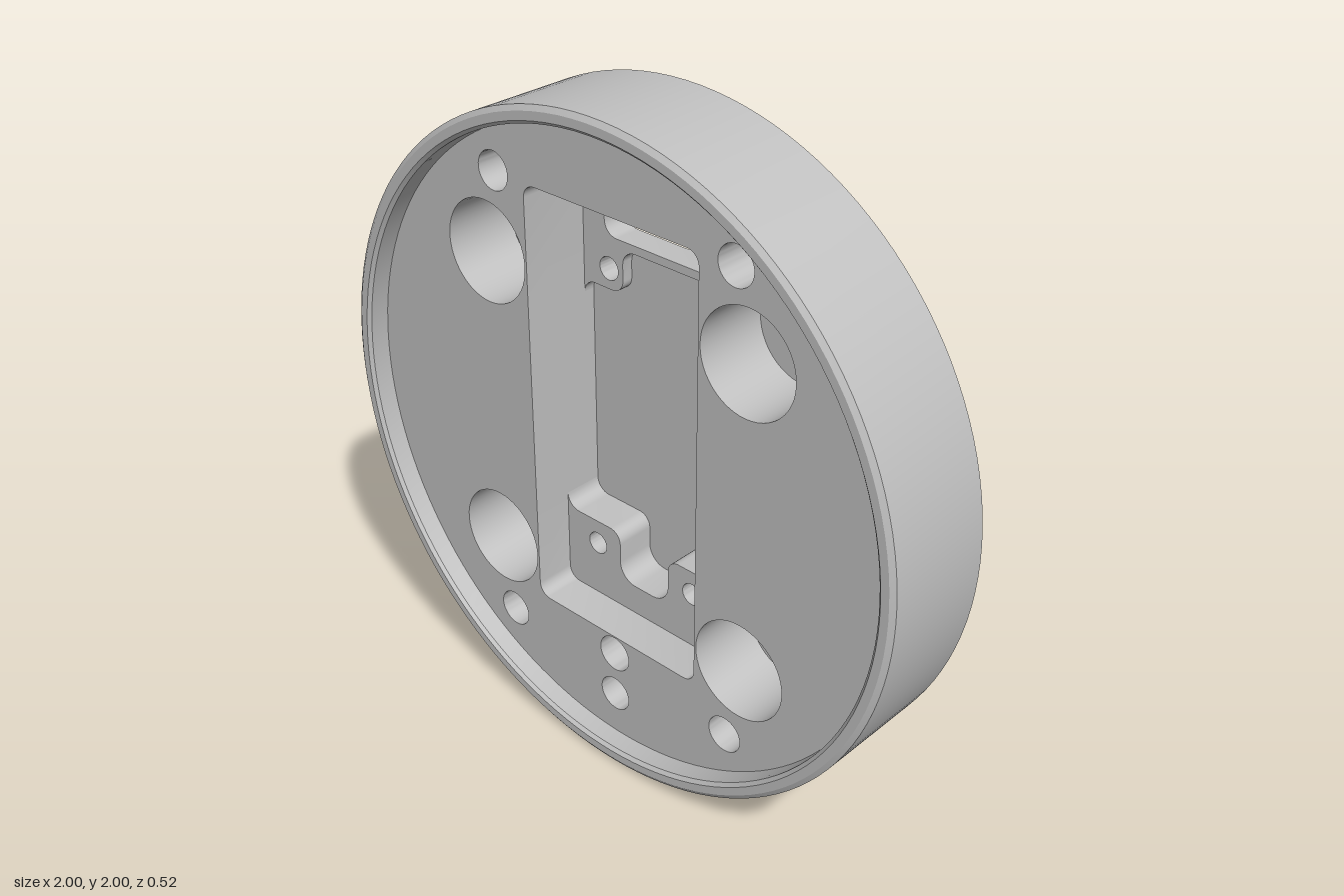
import * as THREE from 'three';
import { toCreasedNormals } from 'three/addons/utils/BufferGeometryUtils.js';

const CY = 1; // height of the disc axis
// z levels
const FRONT = 0.26, FLOOR = 0.19, LOW_SHELF = 0.065, TOP_SHELF = -0.025,
  CBORE = -0.04, DEEP = -0.06, BACK = -0.11, BOSS = -0.26;

const V = (x, y) => new THREE.Vector2(x, y);

// Circle as a counter-clockwise point loop
function circle(x, y, r, n = 48) {
  return Array.from({ length: n }, (_, i) => {
    const a = (i / n) * Math.PI * 2;
    return V(x + r * Math.cos(a), y + r * Math.sin(a));
  });
}

// Polyline [x, y, radius] with its right-angled corners rounded
function rounded(corners, closed = false) {
  const n = corners.length, out = [];
  corners.forEach(([x, y, r], i) => {
    const p = V(x, y);
    if (!r || (!closed && (i === 0 || i === n - 1))) { out.push(p); return; }
    const a = corners[(i + n - 1) % n], b = corners[(i + 1) % n];
    const d1 = p.clone().sub(V(a[0], a[1])).normalize();
    const d2 = V(b[0], b[1]).sub(p).normalize();
    for (let k = 0; k <= 8; k++) {
      const t = (k / 8) * Math.PI / 2;
      out.push(p.clone().addScaledVector(d1, -r * (1 - Math.sin(t)))
        .addScaledVector(d2, r * (1 - Math.cos(t))));
    }
  });
  return out;
}

// Flat face with holes at height z, facing front or back
function face(outline, holes, z, back = false) {
  const shape = new THREE.Shape(outline);
  shape.holes = holes.map((h) => new THREE.Path(h));
  const g = new THREE.ShapeGeometry(shape);
  if (back) {
    g.index.array.reverse();
    g.computeVertexNormals();
  }
  return g.translate(0, 0, z);
}

// Upright wall along a path, facing the left of travel
function wall(pts, z0, z1, closed = true) {
  const pos = [], n = pts.length;
  for (let i = 0; i < (closed ? n : n - 1); i++) {
    const p = pts[i], q = pts[(i + 1) % n];
    if (p.distanceTo(q) < 1e-6) continue;
    pos.push(p.x, p.y, z0, q.x, q.y, z1, q.x, q.y, z0,
      p.x, p.y, z0, p.x, p.y, z1, q.x, q.y, z1);
  }
  const g = new THREE.BufferGeometry();
  g.setAttribute('position', new THREE.Float32BufferAttribute(pos, 3));
  return toCreasedNormals(g, Math.PI / 6);
}

// Turned part around an axis along z, profile points are [radius, z]
function turned(profile, x, y, segments) {
  const g = new THREE.LatheGeometry(profile.map(([r, z]) => V(r, z)), segments);
  g.rotateX(Math.PI / 2).translate(x, y, 0);
  return toCreasedNormals(g, Math.PI / 6);
}

export function createModel() {
  const group = new THREE.Group();
  group.name = 'mountingDisc';
  const metal = new THREE.MeshStandardMaterial({ color: 0xc0c0c0, side: THREE.DoubleSide });
  metal.name = 'light grey metal';
  const add = (name, geometry) => {
    const mesh = new THREE.Mesh(geometry, metal);
    mesh.name = name;
    group.add(mesh);
  };

  // Rim with chamfered edges, and the round boss behind
  add('rim', turned([[0.99, BACK], [1, BACK + 0.01], [1, FRONT - 0.01], [0.985, FRONT],
    [0.96, FRONT], [0.95, FRONT - 0.01], [0.95, FLOOR]], 0, CY, 128));
  add('rearBoss', turned([[0, BOSS], [0.41, BOSS], [0.42, BOSS + 0.01], [0.42, BACK]], 0, CY, 96));

  // Outlines of the stepped pocket
  const W = 0.31, T = 1.33, B = 0.7;
  const pocketTop = rounded([[W, T], [W, 1.72, 0.04], [-W, 1.72, 0.04], [-W, T]]);
  const pocketBottom = rounded([[-W, B], [-W, 0.4, 0.04], [W, 0.4, 0.04], [W, B]]);
  const deepTop = rounded([[W, T], [W, 1.37, 0.04], [0.16, 1.37, 0.04], [0.16, 1.505, 0.045],
    [-0.16, 1.505, 0.045], [-0.16, 1.37, 0.04], [-W, 1.37, 0.04], [-W, T]]);
  const deepBottom = rounded([[-W, B], [-W, 0.655, 0.045], [-0.095, 0.655, 0.04],
    [-0.095, 0.495, 0.06], [0.095, 0.495, 0.06], [0.095, 0.655, 0.04], [W, 0.655, 0.045], [W, B]]);
  const slot = rounded([[-0.228, 1.53, 0.045], [0.228, 1.53, 0.045],
    [0.228, 1.707, 0.045], [-0.228, 1.707, 0.045]], true);

  // Hole loops
  const pair = (x, y, r) => [circle(-x, y, r), circle(x, y, r)];
  const plainHoles = [...pair(0.427, 1.723, 0.057), ...pair(0.427, 0.285, 0.057)];
  const topScrews = pair(0.213, 1.432, 0.035);
  const lowScrews = pair(0.187, 0.578, 0.035);
  const boltBores = [...pair(0.47, 1.475, 0.153), ...pair(0.47, 0.533, 0.153)];
  const boltHoles = [...pair(0.47, 1.475, 0.087), ...pair(0.47, 0.533, 0.087)];
  const keyHole = circle(0, 0.338, 0.057), keyBore = circle(0, 0.338, 0.085);
  const pinHole = circle(0, 0.19, 0.055);

  // Front and back faces
  add('frontFloor', face(circle(0, CY, 0.95, 128),
    [[...pocketTop, ...pocketBottom], ...plainHoles, ...boltBores, keyHole, pinHole], FLOOR));
  add('backFace', face(circle(0, CY, 0.99, 128), [circle(0, CY, 0.42, 96), slot, ...plainHoles,
    ...topScrews, ...lowScrews, ...boltHoles, keyBore], BACK, true));

  // Pocket floors and walls
  add('upperShelf', face([...pocketTop, ...[...deepTop].reverse()], [slot, ...topScrews], TOP_SHELF));
  add('lowerShelf', face([...pocketBottom, ...[...deepBottom].reverse()], lowScrews, LOW_SHELF));
  add('pocketFloor', face([...deepTop, ...deepBottom], [], DEEP));
  add('pocketUpperWall', wall(pocketTop, TOP_SHELF, FLOOR, false));
  add('pocketLowerWall', wall(pocketBottom, LOW_SHELF, FLOOR, false));
  add('pocketLeftWall', wall([V(W, B), V(W, T)], DEEP, FLOOR, false));
  add('pocketRightWall', wall([V(-W, T), V(-W, B)], DEEP, FLOOR, false));
  add('upperStepWall', wall(deepTop, DEEP, TOP_SHELF, false));
  add('lowerStepWall', wall(deepBottom, DEEP, LOW_SHELF, false));
  add('slotWall', wall(slot, BACK, TOP_SHELF));

  // Hole walls
  plainHoles.forEach((h) => add('plainHole', wall(h, BACK, FLOOR)));
  topScrews.forEach((h) => add('upperScrewHole', wall(h, BACK, TOP_SHELF)));
  lowScrews.forEach((h) => add('lowerScrewHole', wall(h, BACK, LOW_SHELF)));
  boltBores.forEach((bore, i) => {
    add('boltCounterbore', wall(bore, CBORE, FLOOR));
    add('boltSeat', face(bore, [boltHoles[i]], CBORE));
    add('boltHole', wall(boltHoles[i], BACK, CBORE));
  });

  // Rear counterbored hole and blind drilled hole
  const keySeat = BACK + 0.06;
  add('rearCounterbore', wall(keyBore, BACK, keySeat));
  add('rearBoreSeat', face(keyBore, [keyHole], keySeat, true));
  add('rearBoreHole', wall(keyHole, keySeat, FLOOR));
  add('blindHole', turned([[0.055, FLOOR], [0.055, 0], [0, -0.033]], 0, 0.19, 48));

  return group;
}
